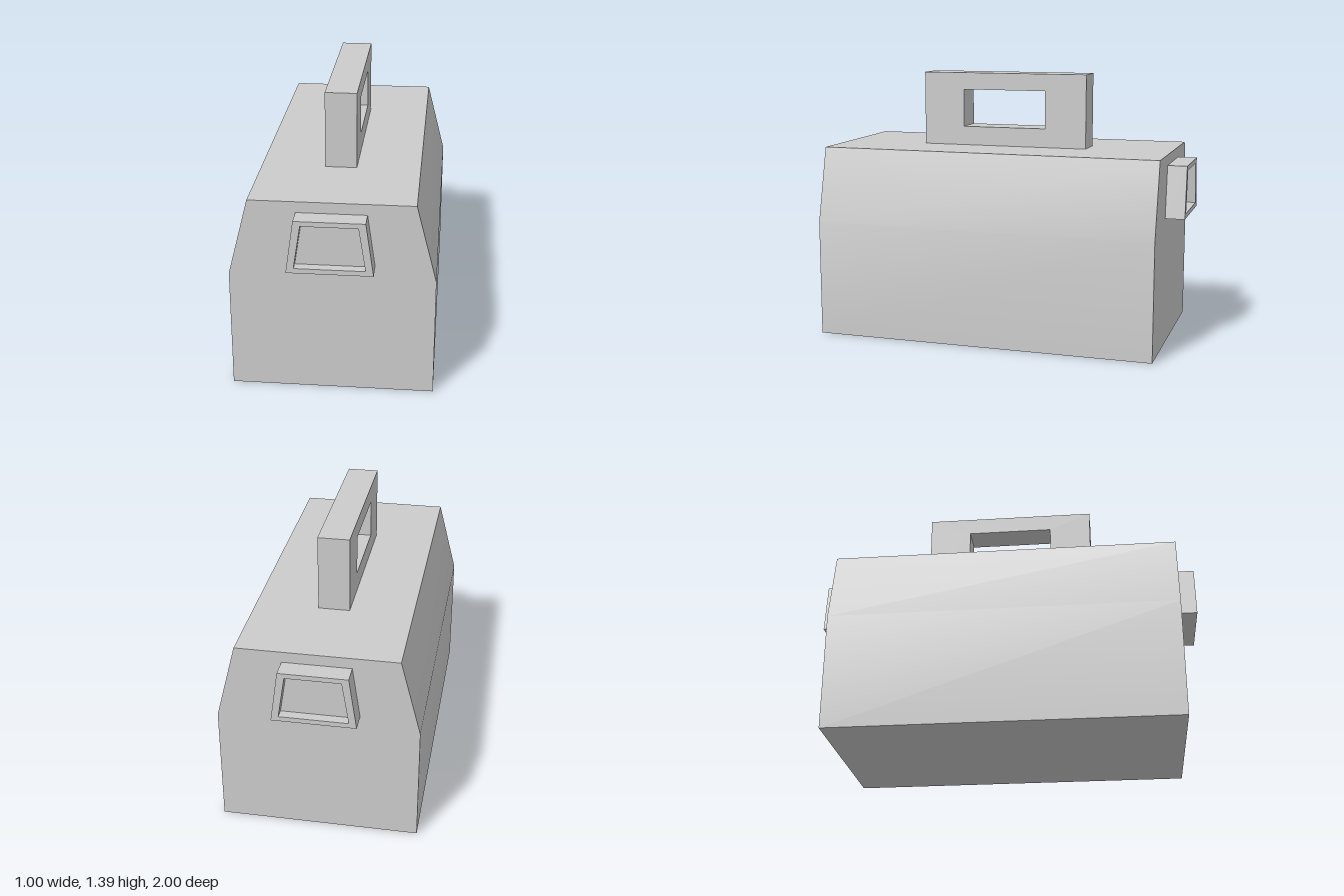
import * as THREE from 'three';
import { toCreasedNormals } from 'three/addons/utils/BufferGeometryUtils.js';

const polygon = (points, Type = THREE.Shape) => new Type(points.map(([x, y]) => new THREE.Vector2(x, y)));

// Symmetric trapezoid outline: half width and height of the lower and upper edges
const trapezoid = (wLow, yLow, wTop, yTop) => [[-wLow, yLow], [wLow, yLow], [wTop, yTop], [-wTop, yTop]];

// Straight extrusion along z, with an optional hole
function extrude(points, depth, hole) {
  const shape = polygon(points);
  if (hole) shape.holes.push(polygon(hole, THREE.Path));
  return new THREE.ExtrudeGeometry(shape, { depth, bevelEnabled: false });
}

export function createModel() {
  const model = new THREE.Group();
  model.name = 'toolbox';
  const grey = new THREE.MeshStandardMaterial({ color: 0xcccccc });
  grey.name = 'light grey';

  const add = (parent, name, geometry) => {
    const mesh = new THREE.Mesh(geometry, grey);
    mesh.name = name;
    parent.add(mesh);
    return mesh;
  };

  // Case with softly shaded sides that lean in towards the top
  const section = [[-0.5, 0], [0.5, 0], [0.5, 0.61], [0.4, 1], [-0.4, 1], [-0.5, 0.61]];
  const body = extrude(section, 1.8).translate(0, 0, -0.9);
  add(model, 'case', toCreasedNormals(body, 0.5));

  // Carrying handle with a rectangular grip opening
  const handle = extrude(trapezoid(0.45, 1, 0.45, 1.39), 0.16, trapezoid(0.227, 1.1, 0.227, 1.3));
  add(model, 'handle', handle.translate(0, 0, -0.08).rotateY(Math.PI / 2));

  // Recessed latch on each end
  const outer = trapezoid(0.208, 0.677, 0.17, 0.945);
  const inner = trapezoid(0.17, 0.702, 0.136, 0.92);
  for (const [name, turn] of [['frontLatch', 0], ['backLatch', Math.PI]]) {
    const latch = new THREE.Group();
    latch.name = name;
    latch.rotation.y = turn;
    add(latch, 'latchFrame', extrude(outer, 0.1, inner)).position.z = 0.9;
    add(latch, 'latchPanel', extrude(inner, 0.05)).position.z = 0.9;
    model.add(latch);
  }
  return model;
}
